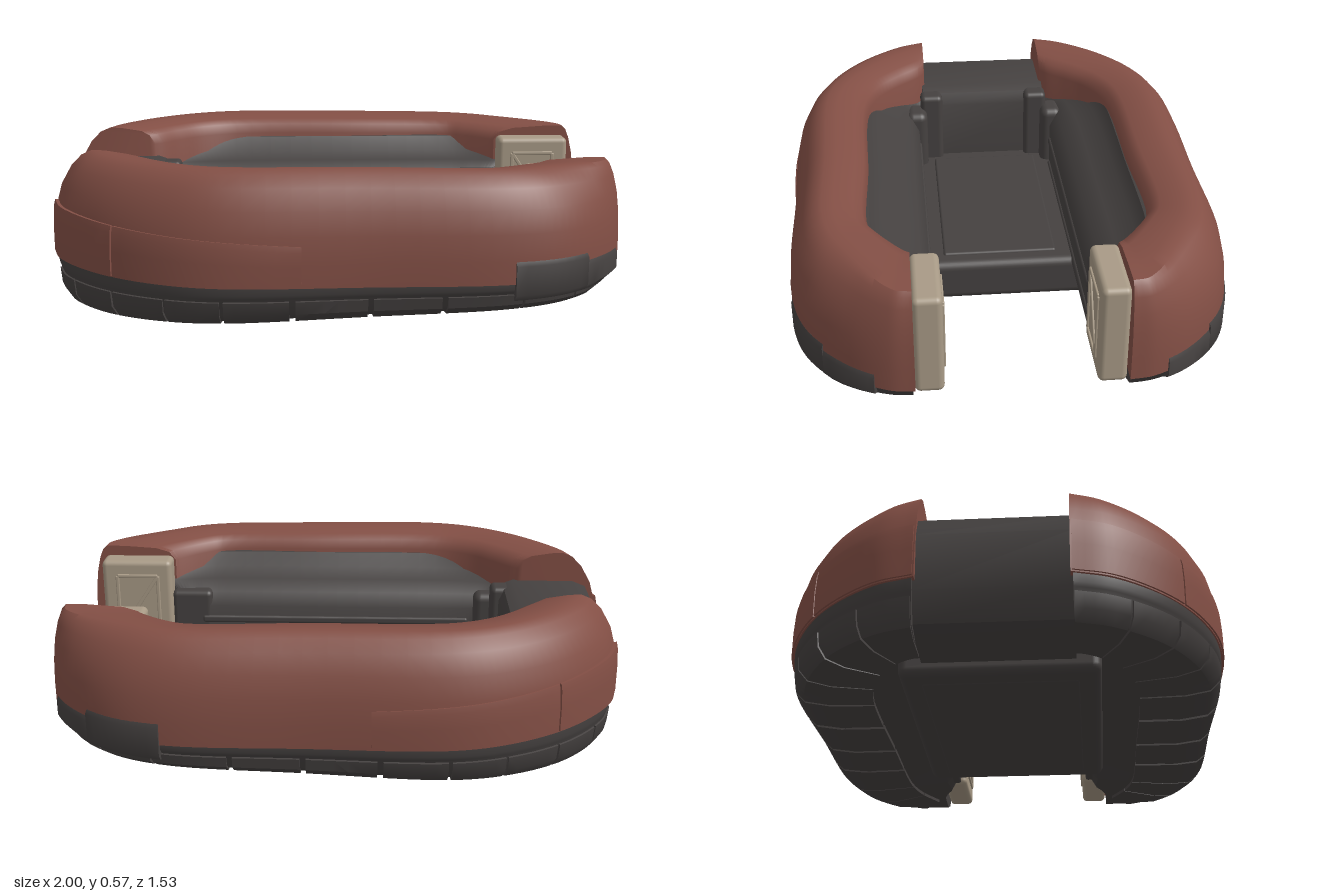
import * as THREE from 'three';
import { toCreasedNormals } from 'three/addons/utils/BufferGeometryUtils.js';
import { RoundedBoxGeometry } from 'three/addons/geometries/RoundedBoxGeometry.js';

const mat = (name, color) => new THREE.MeshStandardMaterial({ name, color });

// Plan outlines of one arm, as x/z pairs from the rear wall to the open tip
const curve = (pts) => new THREE.CatmullRomCurve3(pts.map(([x, z]) => new THREE.Vector3(x, 0, z)));
const outer = curve([[-1, .24], [-.955, .375], [-.8, .56], [-.6, .688], [-.39, .75], [.1, .75],
  [.56, .74], [.76, .678], [.92, .54], [.988, .42], [1, .34]]);
const innerShell = curve([[-.69, .24], [-.655, .265], [-.59, .335], [-.5, .415], [-.37, .466], [.1, .472],
  [.49, .472], [.55, .44], [.61, .395], [.655, .355], [.67, .34]]);
const outerBase = curve([[-.99, .248], [-.945, .375], [-.8, .554], [-.6, .682], [-.39, .744], [.1, .744],
  [.56, .734], [.76, .672], [.912, .535], [.975, .42], [.985, .348]]);
const innerBase = curve([[-.62, .248], [-.6, .26], [-.56, .27], [-.48, .27], [-.36, .27], [.1, .27],
  [.49, .27], [.56, .27], [.63, .28], [.66, .315], [.67, .345]]);

// The underside rises gently toward the tip, and the top dips at both ends
const riseBottom = (x, y) => y >= .2 ? y
  : y + (Math.max(0, .04 + .04 * x) + Math.max(0, x - .85) * .3) * (.2 - y) / .17;
const dropTop = (x, y) => y - Math.max(0, y - .3) * .06 * (x + .3) ** 2;
const slopePanel = (x, y) => y > .25 ? y - .06 * (x + 1) * (y - .2) / .19 : y;

// Sweeps a closed section (u from outer to inner line, y) along an arm; side = 1 or -1.
// squeeze steepens the outer shoulder toward the tip.
function loft(a, b, section, t0, t1, n, side, warp, squeeze = 0) {
  const pos = [], idx = [], m = section.length;
  const tri = (p, q, r) => side > 0 ? idx.push(p, q, r) : idx.push(p, r, q);
  for (let i = 0; i <= n; i++) {
    const t = t0 + (t1 - t0) * i / n, o = a.getPoint(t), p = b.getPoint(t);
    const k = 1 - squeeze * THREE.MathUtils.smoothstep(t, .7, .95);
    for (const [u, y] of section) {
      const v = u < .46 ? u * k : 1 - (1 - u) * (1 - .46 * k) / .54;
      const x = o.x + (p.x - o.x) * v, z = o.z + (p.z - o.z) * v;
      pos.push(x, warp(x, y), z * side);
    }
  }
  for (let i = 0; i < n; i++) for (let j = 0; j < m; j++) {
    const k = (j + 1) % m, c = i * m, d = c + m;
    tri(c + j, d + j, d + k);
    tri(c + j, d + k, c + k);
  }
  const caps = THREE.ShapeUtils.triangulateShape(section.map(([u, y]) => new THREE.Vector2(u, y)), []);
  for (const [p, q, r] of caps) {
    tri(p, r, q);
    tri(n * m + p, n * m + q, n * m + r);
  }
  const g = new THREE.BufferGeometry();
  g.setAttribute('position', new THREE.Float32BufferAttribute(pos, 3));
  g.setIndex(idx);
  return toCreasedNormals(g, .65);
}

const SHELL = [[0, .2], [0, .28], [.03, .37], [.1, .45], [.22, .517], [.34, .555], [.46, .57],
  [.6, .567], [.85, .553], [.95, .535], [1, .5], [1, .2]];
// The inner half of the base is a lining that slopes down from the shell's edge
const BASE = [[.3, .035], [.1, .055], [.04, .09], [.02, .145], [.01, .155], [0, .17], [0, .2], [.04, .215],
  [.3, .25], [.52, .49], [.58, .485], [.65, .435], [.8, .405], [.93, .37], [1, .32], [1, .12], [.9, .06]];
const SKIRT = [[.6, .05], [.6, .028], [.27, .028], [.09, .045], [.02, .085], [.005, .14], [.05, .145], [.12, .08]];
const PANEL = [[-.02, .205], [-.02, .3], [-.008, .365], [.01, .39], [.08, .39], [.08, .205]];

export function createModel() {
  const group = new THREE.Group();
  const red = mat('brick red shell', 0x834f45);
  const dark = mat('charcoal', 0x454140);
  const beige = mat('beige pad', 0xa89a86);
  const add = (name, geo, material, parent = group) => {
    const mesh = new THREE.Mesh(geo, material);
    mesh.name = name;
    parent.add(mesh);
    return mesh;
  };
  const box = (name, x0, x1, y0, y1, z0, z1, r, material, parent) => {
    const mesh = add(name, new RoundedBoxGeometry(x1 - x0, y1 - y0, Math.abs(z1 - z0), 3, r), material, parent);
    mesh.position.set((x0 + x1) / 2, (y0 + y1) / 2, (z0 + z1) / 2);
    return mesh;
  };

  for (const s of [1, -1]) {
    const arm = new THREE.Group();
    arm.name = s > 0 ? 'frontArm' : 'backArm';
    group.add(arm);
    add('shell', loft(outer, innerShell, SHELL, 0, 1, 60, s, dropTop, .65), red, arm);
    add('base', loft(outerBase, innerBase, BASE, 0, 1, 60, s, riseBottom), dark, arm);

    // Segmented skirt under the base
    const cuts = [0, .13, .22, .31, .4, .45, .5, .55, .62, .72, .84];
    for (let i = 0; i + 1 < cuts.length; i++)
      add('skirtSegment', loft(outerBase, innerBase, SKIRT, cuts[i] + .002, cuts[i + 1] - .002, 5, s, riseBottom), dark, arm);

    // Raised side panels near the rear
    for (const [t0, t1] of [[.004, .224], [.227, .456]])
      add('sidePanel', loft(outer, innerShell, PANEL, t0, t1, 14, s, slopePanel), red, arm);

    // Dark guards wrapping the lower corner of the tip
    for (const [t0, t1, top] of [[.605, .74, .276], [.74, .86, .25]])
      add('cornerGuard', loft(outer, innerShell,
        [[.02, .11], [-.02, .14], [-.02, top - .015], [0, top], [.12, top], [.12, .11]], t0, t1, 8, s, riseBottom), dark, arm);

    // Inner lining rails and blocks
    box('liningRail', -.5, .56, .25, .28, s * .262, s * .3, .01, dark, arm);
    box('liningRail', -.5, .62, .13, .17, s * .262, s * .3, .01, dark, arm);
    box('liningBlock', .52, .68, .16, .38, s * .267, s * .4, .02, dark, arm);
    box('cornerBlock', -.64, -.52, .1, .39, s * .235, s * .32, .03, dark, arm);
    box('wallPilaster', -.66, -.58, .1, .44, s * .17, s * .26, .02, dark, arm);

    // End pad with a framed diagonal rib on its inner face
    const pad = new THREE.Group();
    pad.name = 'endPad';
    arm.add(pad);
    box('padBody', .675, .95, .15, .51, s * .246, s * .342, .02, beige, pad);
    const z0 = s * .239, z1 = s * .25;
    for (const x of [.73, .89]) box('padFrameSide', x - .007, x + .007, .21, .45, z0, z1, .004, beige, pad);
    for (const y of [.21, .45]) box('padFrameEnd', .73, .89, y - .007, y + .007, z0, z1, .004, beige, pad);
    box('padDiagonal', .803, .817, .19, .47, z0, z1, .004, beige, pad).rotation.z = Math.atan2(.16, .24);
  }

  // Rear wall joining the arms
  const wall = new THREE.Shape([[-.97, .17], [-.93, .07], [-.86, .045], [-.68, .045], [-.61, .12], [-.61, .39],
    [-.63, .435], [-.67, .45], [-.9, .45], [-.95, .43], [-.98, .36]].map(([x, y]) => new THREE.Vector2(x, y)));
  const wallGeo = new THREE.ExtrudeGeometry(wall, { depth: .5, bevelEnabled: false });
  wallGeo.translate(0, 0, -.25);
  add('rearWall', toCreasedNormals(wallGeo, .65), dark);

  // Floor plate between the arms
  box('floorPlate', -.71, .24, .003, .16, -.33, .33, .03, dark);
  box('floorPanel', -.56, .18, .14, .168, -.21, .21, .01, dark);
  box('undersidePanel', -.64, .17, 0, .03, -.26, .26, .01, dark);

  return group;
}
